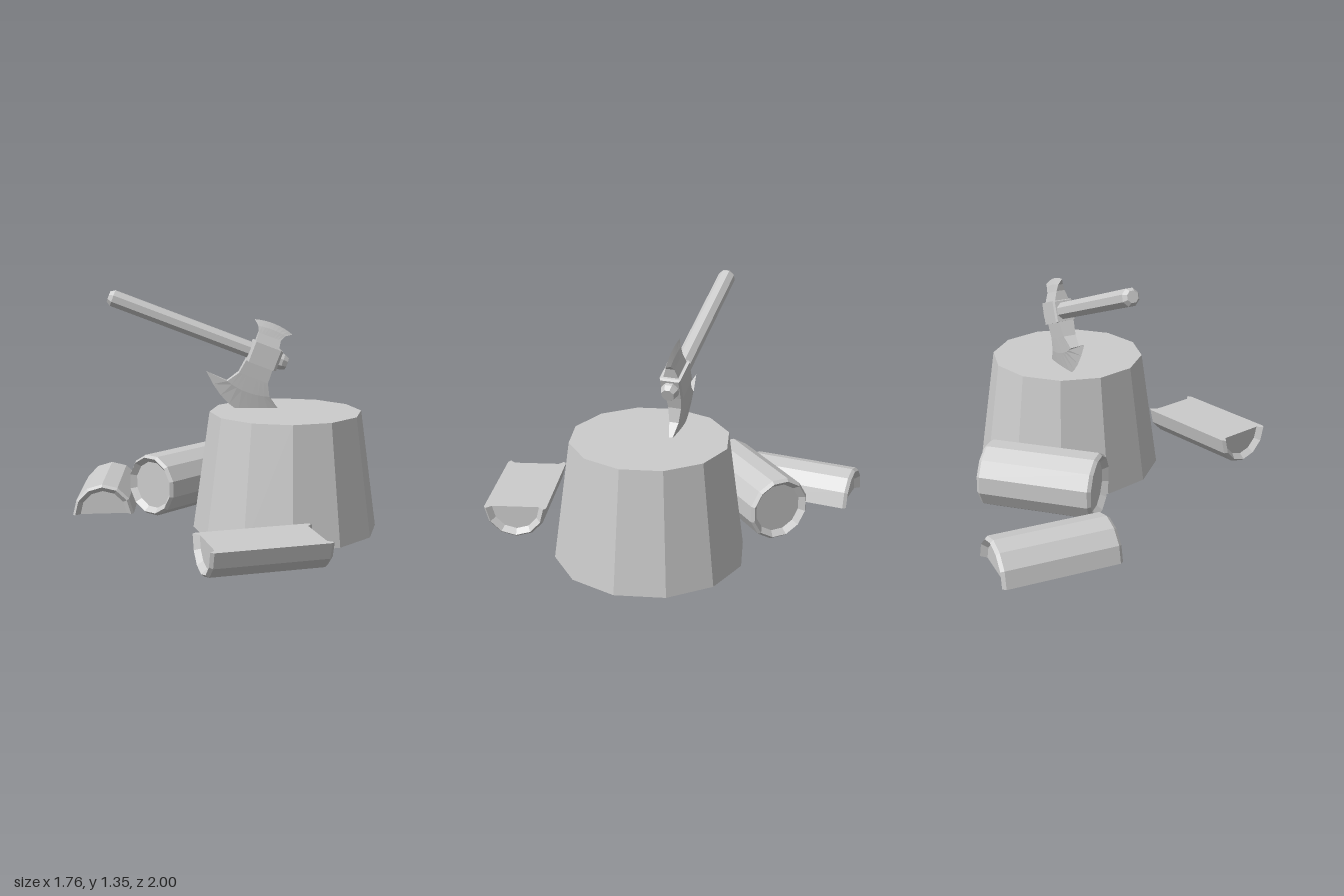
import * as THREE from 'three';

const mat = new THREE.MeshStandardMaterial({ color: 0xcccccc, flatShading: true, side: THREE.DoubleSide });
const v2 = (x, y) => new THREE.Vector2(x, y);

function add(parent, name, geometry) {
  const mesh = new THREE.Mesh(geometry, mat);
  mesh.name = name;
  parent.add(mesh);
  return mesh;
}

// Log along x: bark rim stands proud of the recessed wood at both ends
function makeLog(name, radius, halfLength, half) {
  const g = new THREE.Group();
  g.name = name;
  const end = [v2(0, halfLength - 0.03), v2(radius * 0.76, halfLength - 0.03),
    v2(radius * 0.92, halfLength), v2(radius, halfLength - 0.018)];
  const profile = [...end.map(p => v2(p.x, -p.y)), ...end.slice().reverse()];
  const bark = add(g, 'logBody', new THREE.LatheGeometry(profile, half ? 6 : 12,
    half === 'upper' ? Math.PI : 0, half ? Math.PI : Math.PI * 2));
  bark.rotation.z = -Math.PI / 2;
  if (half) {
    // split face
    const outline = [...profile.slice(1, -1).map(p => v2(p.y, p.x)),
      ...profile.slice(1, -1).reverse().map(p => v2(p.y, -p.x))];
    add(g, 'splitFace', new THREE.ShapeGeometry(new THREE.Shape(outline))).rotation.x = -Math.PI / 2;
  }
  g.rotation.order = 'YXZ';
  return g;
}

// Blade lofted from rows [leftX, leftY, rightX, rightY, bow, halfThickness]
function bladeGeometry(rows, n = 8) {
  const pos = [], index = [];
  const ring = 2 * (n + 1);
  for (const [lx, ly, rx, ry, bow, h] of rows) {
    for (const side of [1, -1]) {
      for (let i = 0; i <= n; i++) {
        const t = side > 0 ? i / n : 1 - i / n;
        pos.push(lx + (rx - lx) * t, ly + (ry - ly) * t + bow * 4 * t * (1 - t), side * h);
      }
    }
  }
  for (let r = 0; r < rows.length - 1; r++) {
    for (let i = 0; i < ring; i++) {
      const a = r * ring + i, b = r * ring + (i + 1) % ring, c = a + ring, d = b + ring;
      if (rows[1][1] > rows[0][1]) index.push(a, b, d, a, d, c);
      else index.push(a, d, b, a, c, d);
    }
  }
  const g = new THREE.BufferGeometry();
  g.setAttribute('position', new THREE.Float32BufferAttribute(pos, 3));
  g.setIndex(index);
  g.computeVertexNormals();
  return g;
}

function makeAxe() {
  const axe = new THREE.Group();
  axe.name = 'axe';

  // eight-sided handle with bevelled butt and tip
  const handle = add(axe, 'handle', new THREE.LatheGeometry([
    v2(0, -0.94), v2(0.032, -0.94), v2(0.049, -0.915), v2(0.049, 0.09),
    v2(0.049, 0.108), v2(0.036, 0.137), v2(0, 0.137)], 8, Math.PI / 8));
  handle.rotation.z = -Math.PI / 2;

  // head socket, narrowing slightly at its two ends
  const socket = new THREE.BoxGeometry(0.18, 0.122, 0.115, 4, 1, 1);
  const p = socket.attributes.position;
  for (let i = 0; i < p.count; i++) {
    const x = p.getX(i);
    if (Math.abs(x) > 0.01 && Math.abs(x) < 0.08) p.setX(i, Math.sign(x) * 0.075);
    else if (Math.abs(x) > 0.08) p.setXYZ(i, x, p.getY(i) * 0.93, p.getZ(i) * 0.87);
  }
  add(axe, 'headSocket', socket);

  add(axe, 'mainBlade', bladeGeometry([
    [-0.088, -0.05, 0.07, -0.05, 0, 0.045],
    [-0.101, -0.141, 0.075, -0.141, 0, 0.036],
    [-0.146, -0.211, 0.112, -0.211, -0.02, 0.026],
    [-0.276, -0.202, 0.23, -0.29, -0.105, 0]]));
  add(axe, 'backBlade', bladeGeometry([
    [-0.075, 0.05, 0.065, 0.05, 0, 0.045],
    [-0.078, 0.112, 0.056, 0.112, 0, 0.024],
    [-0.092, 0.145, 0.074, 0.145, 0.008, 0.014],
    [-0.125, 0.172, 0.108, 0.166, 0.018, 0]]));

  axe.position.set(0.235, 0.985, -0.19);
  axe.rotation.z = -0.366;
  return axe;
}

export function createModel() {
  const model = new THREE.Group();
  model.name = 'choppingBlock';

  // twelve-sided stump
  add(model, 'stump', new THREE.CylinderGeometry(0.43, 0.523, 0.67, 12)).position.set(0.35, 0.345, -0.085);

  model.add(makeAxe());

  // whole log, and two split halves
  const whole = makeLog('wholeLog', 0.181, 0.32);
  whole.position.set(-0.205, 0.21, -0.495);
  whole.rotation.set(Math.PI / 12, 0.807, 0);

  const front = makeLog('frontHalfLog', 0.177, 0.323, 'lower');
  front.position.set(0.165, 0.183, 0.755);
  front.rotation.set(0.02, 0.25, 0);

  const back = makeLog('backHalfLog', 0.181, 0.323, 'upper');
  back.position.set(-0.69, 0.014, -0.672);
  back.rotation.set(-0.03, 1.524, 0);

  model.add(whole, front, back);
  return model;
}
